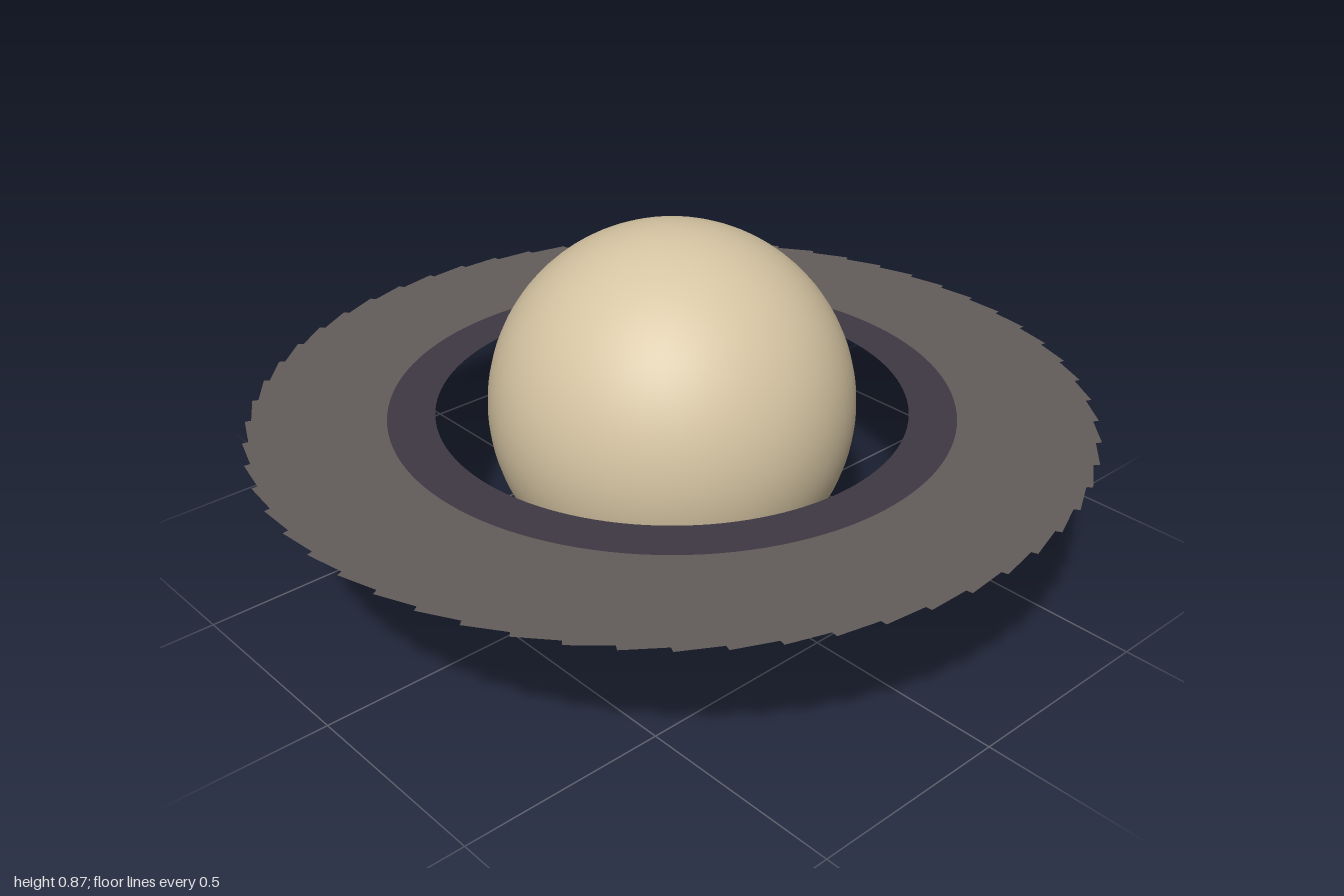
import * as THREE from 'three';

const R = 0.437; // planet radius, also the height of the ring plane

function material(name, color, side = THREE.FrontSide) {
  const m = new THREE.MeshStandardMaterial({ color, side });
  m.name = name;
  return m;
}

// Closed outline from a radius rule
function outline(PathType, count, radiusAt) {
  const points = [];
  for (let i = 0; i < count; i++) {
    const { angle, radius } = radiusAt(i);
    points.push(new THREE.Vector2(Math.cos(angle) * radius, Math.sin(angle) * radius));
  }
  return new PathType(points);
}

export function createModel() {
  const model = new THREE.Group();
  model.name = 'ringedPlanet';

  const sand = material('sand', 0xd6c5a3);
  const grey = material('dustyGrey', 0x635c5b, THREE.DoubleSide);
  const violet = material('darkViolet', 0x3f3844, THREE.DoubleSide);

  function add(name, geometry, mat) {
    const mesh = new THREE.Mesh(geometry, mat);
    mesh.name = name;
    mesh.position.y = R;
    model.add(mesh);
  }

  // Smooth planet
  add('planet', new THREE.SphereGeometry(R, 64, 48), sand);

  // Dark inner band
  add('innerRing', new THREE.RingGeometry(0.56, 0.672, 128, 1).rotateX(-Math.PI / 2), violet);

  // Wide outer band with a shallow sawtooth rim
  const teeth = 60;
  const rim = outline(THREE.Shape, teeth * 2, (i) => ({
    angle: ((Math.floor(i / 2) + (i % 2) * 0.96) / teeth) * Math.PI * 2,
    radius: i % 2 ? 0.986 : 1,
  }));
  rim.holes.push(outline(THREE.Path, 128, (i) => ({
    angle: (-i / 128) * Math.PI * 2,
    radius: 0.672,
  })));
  add('outerRing', new THREE.ShapeGeometry(rim).rotateX(-Math.PI / 2), grey);

  return model;
}
